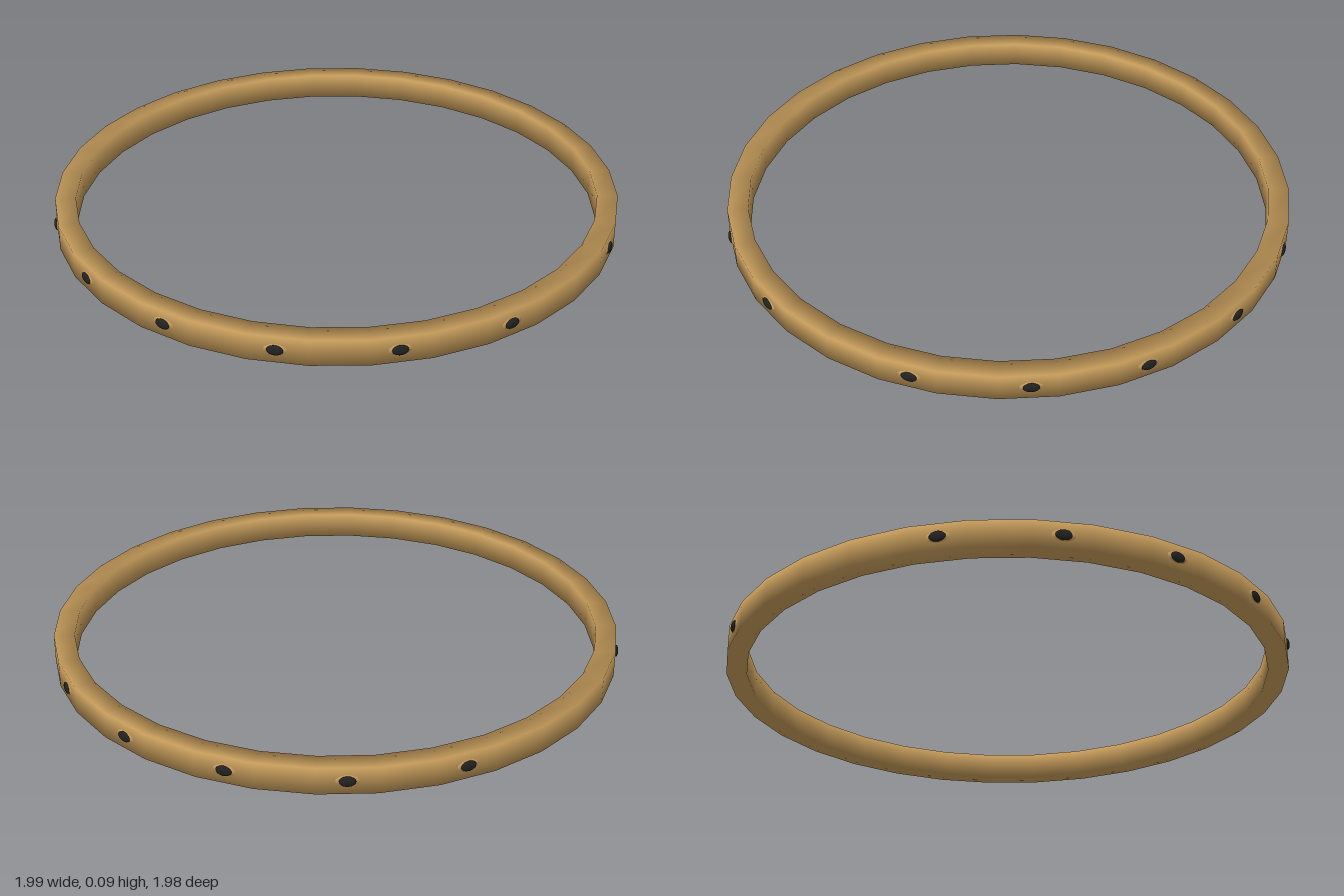
import * as THREE from 'three';
import { mergeVertices } from 'three/addons/utils/BufferGeometryUtils.js';

const HEIGHT = 0.093;
const OUTER = 0.99;
const INNER = 0.918;

// Square-section hoop with normals blended across its edges
function hoopGeometry() {
  const profile = [[INNER, 0], [OUTER, 0], [OUTER, HEIGHT], [INNER, HEIGHT], [INNER, 0]]
    .map(([r, y]) => new THREE.Vector2(r, y));
  const lathe = new THREE.LatheGeometry(profile, 32);
  lathe.deleteAttribute('uv');
  lathe.deleteAttribute('normal');
  const hoop = mergeVertices(lathe, 1e-4);
  hoop.computeVertexNormals();
  return hoop;
}

export function createModel() {
  const gold = new THREE.MeshStandardMaterial({ color: 0xc49a5a });
  gold.name = 'gold';
  const black = new THREE.MeshStandardMaterial({ color: 0x222222 });
  black.name = 'black';

  const model = new THREE.Group();
  model.name = 'ring';

  const hoop = new THREE.Mesh(hoopGeometry(), gold);
  hoop.name = 'hoop';
  model.add(hoop);

  const ball = new THREE.SphereGeometry(1, 16, 12);
  const addStud = (angle) => {
    const stud = new THREE.Group();
    stud.name = 'stud';
    stud.position.y = HEIGHT / 2;
    stud.rotation.y = angle;

    // Oval mount, half sunk into the hoop
    const mount = new THREE.Mesh(ball, gold);
    mount.name = 'studMount';
    mount.scale.set(0.052, 0.028, 0.028);
    mount.position.z = 0.966;

    // Dark stone just proud of the mount
    const stone = new THREE.Mesh(ball, black);
    stone.name = 'studStone';
    stone.scale.set(0.027, 0.018, 0.008);
    stone.position.z = 0.989;

    stud.add(mount, stone);
    model.add(stud);
  };

  // Seven studs on each side, with gaps at the front and back
  for (let i = 0; i < 7; i++) {
    const angle = THREE.MathUtils.degToRad(17.4 + 22.4 * i);
    addStud(angle);
    addStud(-angle);
  }

  return model;
}
